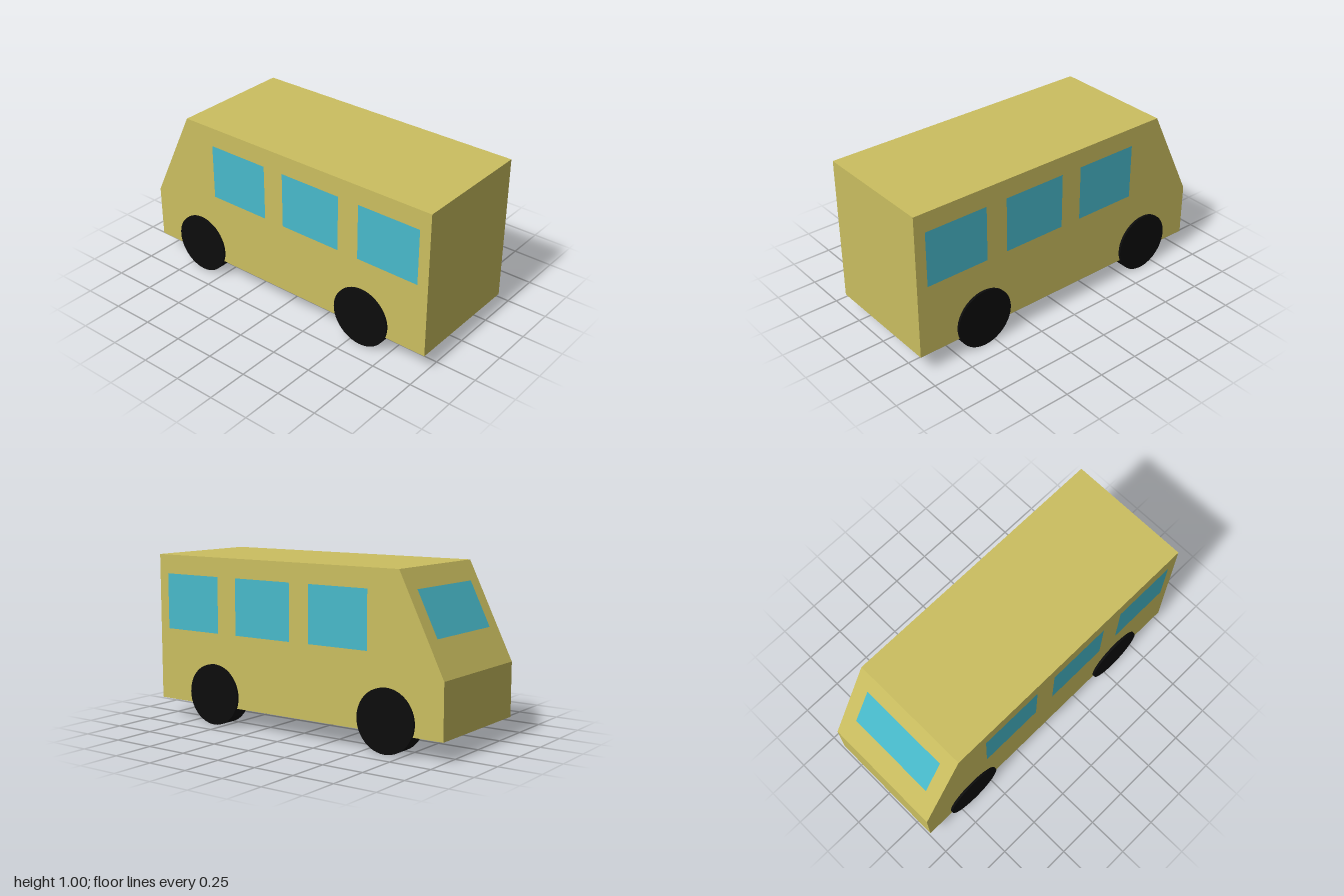
import * as THREE from 'three';

const paint = new THREE.MeshStandardMaterial({ color: 0xcbbf60 });
const glass = new THREE.MeshStandardMaterial({ color: 0x48bacb });
const rubber = new THREE.MeshStandardMaterial({ color: 0x0c0c0c });

const HALF_WIDTH = 0.377;
const GAP = 0.002; // glass sits just proud of the body

function addMesh(parent, name, geometry, material, x, y, z) {
  const mesh = new THREE.Mesh(geometry, material);
  mesh.name = name;
  mesh.position.set(x, y, z);
  parent.add(mesh);
  return mesh;
}

export function createModel() {
  const van = new THREE.Group();
  van.name = 'van';

  // Body: side profile extruded across the width, sloped nose towards -z
  const profile = new THREE.Shape([
    [-1, 0.115], [1, 0.115], [1, 0.435], [0.72, 1], [-1, 1],
  ].map(([s, y]) => new THREE.Vector2(s, y)));
  const bodyGeometry = new THREE.ExtrudeGeometry(profile, { depth: 2 * HALF_WIDTH, bevelEnabled: false });
  bodyGeometry.translate(0, 0, -HALF_WIDTH).rotateY(Math.PI / 2);
  addMesh(van, 'body', bodyGeometry, paint, 0, 0, 0);

  // Side windows and wheels, mirrored on both sides
  const windowGeometry = new THREE.PlaneGeometry(0.396, 0.336);
  const wheelGeometry = new THREE.CylinderGeometry(0.182, 0.182, 0.108, 48).rotateZ(Math.PI / 2);
  for (const side of [-1, 1]) {
    const label = side > 0 ? 'left' : 'right';
    for (const z of [-0.324, 0.205, 0.736]) {
      const pane = addMesh(van, label + 'SideWindow', windowGeometry, glass, side * (HALF_WIDTH + GAP), 0.718, z);
      pane.rotation.y = side * Math.PI / 2;
    }
    for (const z of [-0.645, 0.57]) {
      addMesh(van, label + 'Wheel', wheelGeometry, rubber, side * 0.337, 0.182, z);
    }
  }

  // Windscreen, laid on the sloped nose
  const slope = Math.atan2(0.28, 0.565);
  const windscreen = addMesh(van, 'windscreen', new THREE.PlaneGeometry(0.572, 0.284), glass,
    0, 0.762 + GAP * Math.sin(slope), -0.838 - GAP * Math.cos(slope));
  windscreen.rotation.set(-slope, Math.PI, 0, 'YXZ');

  return van;
}
